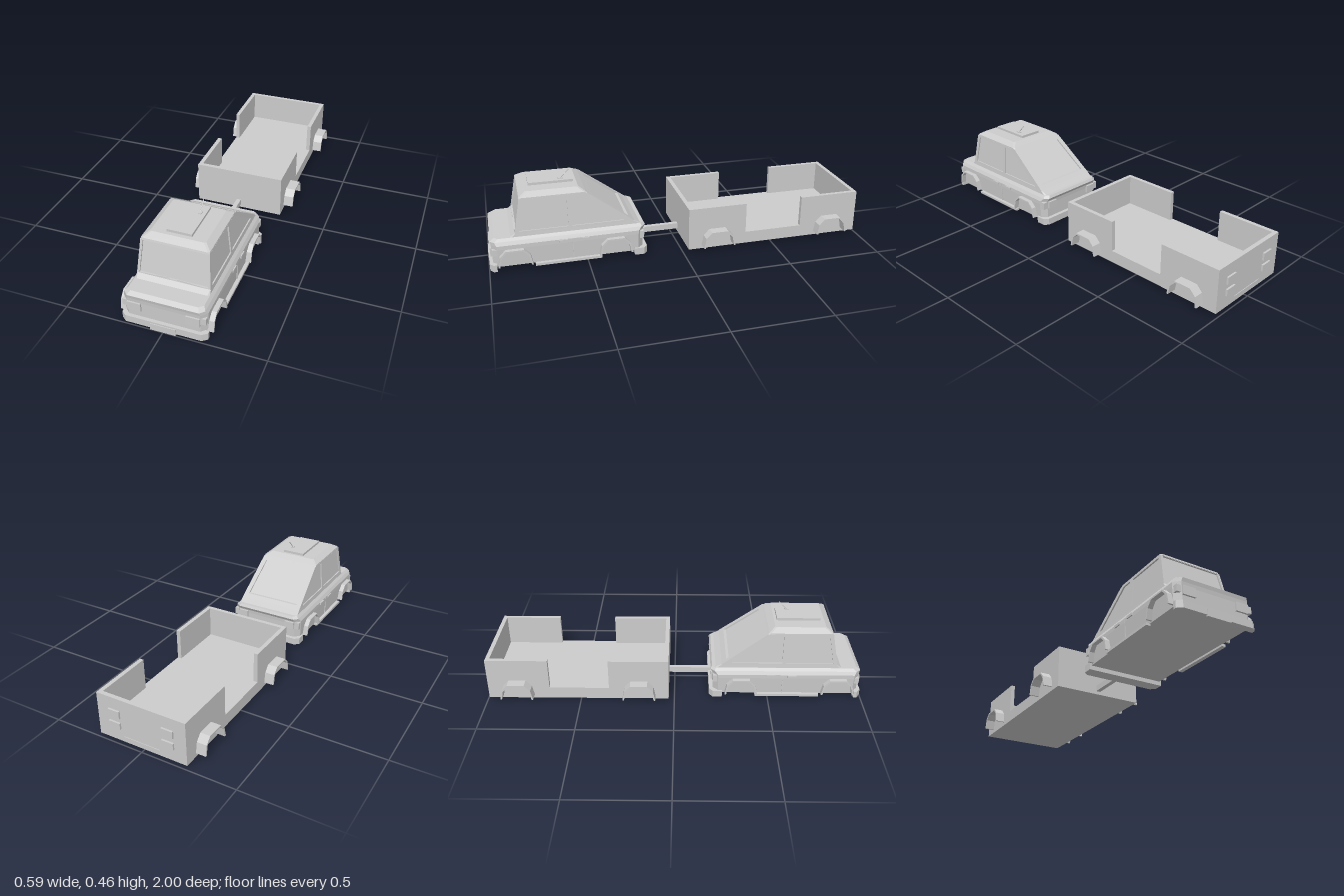
import * as THREE from 'three';

const material = new THREE.MeshStandardMaterial({ color: 0xcccccc, flatShading: true, side: THREE.DoubleSide });

export function createModel() {
  const model = new THREE.Group();
  const car = new THREE.Group();
  car.name = 'car';
  const trailer = new THREE.Group();
  trailer.name = 'trailer';
  model.add(car, trailer);

  const add = (parent, name, geometry) => {
    const mesh = new THREE.Mesh(geometry, material);
    mesh.name = name;
    parent.add(mesh);
    return mesh;
  };

  // Box given by its extents on each axis
  const box = (parent, name, x0, x1, y0, y1, z0, z1) => {
    const mesh = add(parent, name, new THREE.BoxGeometry(Math.abs(x1 - x0), y1 - y0, z1 - z0));
    mesh.position.set((x0 + x1) / 2, (y0 + y1) / 2, (z0 + z1) / 2);
    return mesh;
  };

  // Closed stack of chamfered rectangles: [y, half width, front z, back z, chamfer]
  const loft = (parent, name, rings) => {
    const loops = rings.map(([y, w, f, b, c]) => [
      [w - c, f], [w, f - c], [w, b + c], [w - c, b],
      [c - w, b], [-w, b + c], [-w, f - c], [c - w, f],
    ].map(([x, z]) => [x, y, z]));
    const pos = [];
    const tri = (...pts) => pts.forEach((p) => pos.push(...p));
    for (let r = 0; r < loops.length - 1; r++) {
      for (let i = 0; i < 8; i++) {
        const j = (i + 1) % 8;
        const lo = loops[r], hi = loops[r + 1];
        tri(lo[i], lo[j], hi[j]);
        tri(lo[i], hi[j], hi[i]);
      }
    }
    const bottom = loops[0], top = loops[loops.length - 1];
    for (let i = 1; i < 7; i++) {
      tri(bottom[0], bottom[i + 1], bottom[i]);
      tri(top[0], top[i], top[i + 1]);
    }
    const geometry = new THREE.BufferGeometry();
    geometry.setAttribute('position', new THREE.Float32BufferAttribute(pos, 3));
    geometry.computeVertexNormals();
    return add(parent, name, geometry);
  };

  const outline = (pts, holes = []) => {
    const v = (list) => list.map(([x, y]) => new THREE.Vector2(x, y));
    const shape = new THREE.Shape(v(pts));
    shape.holes = holes.map((h) => new THREE.Path(v(h)));
    return shape;
  };
  const extrude = (shape, depth) => new THREE.ExtrudeGeometry(shape, { depth, bevelEnabled: false });

  // Shift vertices along one axis depending on their height
  const lean = (geometry, axis, rule) => {
    const p = geometry.attributes.position;
    for (let i = 0; i < p.count; i++) {
      p.setComponent(i, axis, p.getComponent(i, axis) + rule(p.getY(i)));
    }
    geometry.computeVertexNormals();
    return geometry;
  };

  // Faceted wheel arches on both sides
  const arch = [[-0.087, 0], [-0.076, 0.055], [-0.045, 0.087], [0.045, 0.087], [0.076, 0.055], [0.087, 0]];
  const archShape = outline([...arch, ...arch.map(([x, y]) => [x * 0.9, y * 0.91]).reverse()]);
  const wheelArches = (parent, z, x0, x1) => {
    for (const s of [-1, 1]) {
      const g = extrude(archShape, x1 - x0).rotateY(Math.PI / 2);
      add(parent, 'wheelArch', g).position.set(s > 0 ? x0 : -x1, 0.036, z);
    }
  };

  // Car body and cowl
  loft(car, 'lowerBody', [
    [0.03, 0.203, 0.978, 0.207, 0.027],
    [0.125, 0.208, 0.98, 0.205, 0.028],
    [0.145, 0.208, 0.982, 0.203, 0.028],
    [0.163, 0.198, 0.986, 0.192, 0.022],
    [0.177, 0.186, 0.965, 0.2, 0.02],
  ]);
  loft(car, 'cowl', [[0.175, 0.185, 0.885, 0.215, 0.01], [0.195, 0.183, 0.86, 0.25, 0.003]]);

  // Cabin: recessed glass, window frames and roof
  loft(car, 'glass', [[0.19, 0.177, 0.853, 0.258, 0.003], [0.372, 0.161, 0.817, 0.5, 0.003]]);
  loft(car, 'roof', [
    [0.366, 0.169, 0.828, 0.479, 0.005],
    [0.376, 0.168, 0.825, 0.492, 0.008],
    [0.397, 0.136, 0.79, 0.525, 0.008],
  ]);
  const crossFrame = [[-0.183, 0.195], [0.183, 0.195], [0.169, 0.37], [-0.169, 0.37]];
  add(car, 'windscreenFrame', lean(
    extrude(outline(crossFrame, [[[-0.17, 0.2], [-0.157, 0.364], [0.157, 0.364], [0.17, 0.2]]]), 0.008),
    2, (y) => 0.852 - (y - 0.195) * 0.2));
  add(car, 'rearWindowFrame', lean(
    extrude(outline(crossFrame, [[[-0.155, 0.213], [-0.142, 0.355], [0.142, 0.355], [0.155, 0.213]]]), 0.014),
    2, (y) => 0.25 + (y - 0.195) * 1.337));

  const sideShape = outline(
    [[-0.86, 0.195], [-0.826, 0.37], [-0.484, 0.37], [-0.25, 0.195]],
    [
      [[-0.838, 0.203], [-0.808, 0.36], [-0.59, 0.36], [-0.59, 0.203]],
      [[-0.57, 0.203], [-0.57, 0.36], [-0.51, 0.36], [-0.302, 0.203]],
    ]);
  for (const s of [-1, 1]) {
    const g = extrude(sideShape, 0.008).rotateY(Math.PI / 2);
    add(car, 'sideWindowFrame', lean(g, 0,
      (y) => s * (0.183 - (y - 0.195) * 0.08) - (s > 0 ? 0.008 : 0)));
  }

  // Chamfered bumpers
  const bumper = (name, zIn, zBend, zOut) => {
    const pts = [[-0.213, zIn], [0.213, zIn], [0.213, zBend], [0.188, zOut], [-0.188, zOut], [-0.213, zBend]];
    const g = extrude(outline(pts.map(([x, z]) => [x, -z])), 0.037).rotateX(-Math.PI / 2);
    add(car, name, g).position.y = 0.008;
  };
  bumper('frontBumper', 0.96, 0.977, 0.996);
  bumper('rearBumper', 0.255, 0.205, 0.186);
  box(car, 'frontPlate', -0.063, 0.063, 0, 0.036, 0.99, 1);

  // Roof hatch and aerial
  box(car, 'roofHatch', -0.063, 0.063, 0.395, 0.41, 0.54, 0.77);
  box(car, 'aerialBase', 0.027, 0.043, 0.408, 0.414, 0.59, 0.615);
  const rod = new THREE.LineCurve3(new THREE.Vector3(0.035, 0.41, 0.605), new THREE.Vector3(0.035, 0.457, 0.558));
  add(car, 'aerial', new THREE.TubeGeometry(rod, 1, 0.0022, 6));

  // Mirrored car details
  for (const s of [-1, 1]) {
    box(car, 'headlight', s * 0.11, s * 0.178, 0.08, 0.126, 0.975, 0.988);
    box(car, 'indicator', s * 0.18, s * 0.205, 0.092, 0.126, 0.956, 0.978);
    box(car, 'tailLight', s * 0.12, s * 0.175, 0.1, 0.14, 0.194, 0.21);
    box(car, 'sideTailLight', s * 0.182, s * 0.207, 0.1, 0.14, 0.204, 0.226);
    box(car, 'sill', s * 0.2, s * 0.222, 0.02, 0.033, 0.43, 0.77);
    box(car, 'doorHandle', s * 0.2, s * 0.214, 0.13, 0.143, 0.6, 0.645);
    box(car, 'doorHandle', s * 0.2, s * 0.214, 0.13, 0.143, 0.49, 0.535);
    box(car, 'doorSeam', s * 0.2, s * 0.2095, 0.035, 0.145, 0.573, 0.577);
    const wiper = box(car, 'wiper', -0.062, 0.062, -0.0015, 0.0015, -0.002, 0.002);
    wiper.position.set(s * 0.08, 0.203, 0.86);
    wiper.rotation.z = -s * 0.06;
  }
  wheelArches(car, 0.868, 0.2, 0.232);
  wheelArches(car, 0.355, 0.2, 0.232);

  // Trailer bed, end walls and corner side walls
  box(model, 'towBar', -0.012, 0.012, 0.033, 0.064, -0.04, 0.21);
  box(trailer, 'bed', -0.243, 0.243, 0.015, 0.08, -0.99, -0.03);
  box(trailer, 'frontWall', -0.243, 0.243, 0.08, 0.245, -0.052, -0.03);
  box(trailer, 'rearWall', -0.243, 0.243, 0.08, 0.245, -0.99, -0.968);
  for (const s of [-1, 1]) {
    box(trailer, 'frontSideWall', s * 0.221, s * 0.243, 0.08, 0.245, -0.347, -0.052);
    box(trailer, 'rearSideWall', s * 0.221, s * 0.243, 0.08, 0.245, -0.968, -0.663);
    box(trailer, 'upperTailLight', s * 0.115, s * 0.178, 0.143, 0.182, -1, -0.988);
    box(trailer, 'lowerTailLight', s * 0.115, s * 0.178, 0.083, 0.117, -1, -0.988);
  }
  box(trailer, 'rearTrim', -0.1, 0.1, 0.042, 0.046, -0.993, -0.988);
  wheelArches(trailer, -0.187, 0.235, 0.295);
  wheelArches(trailer, -0.832, 0.235, 0.295);

  return model;
}
